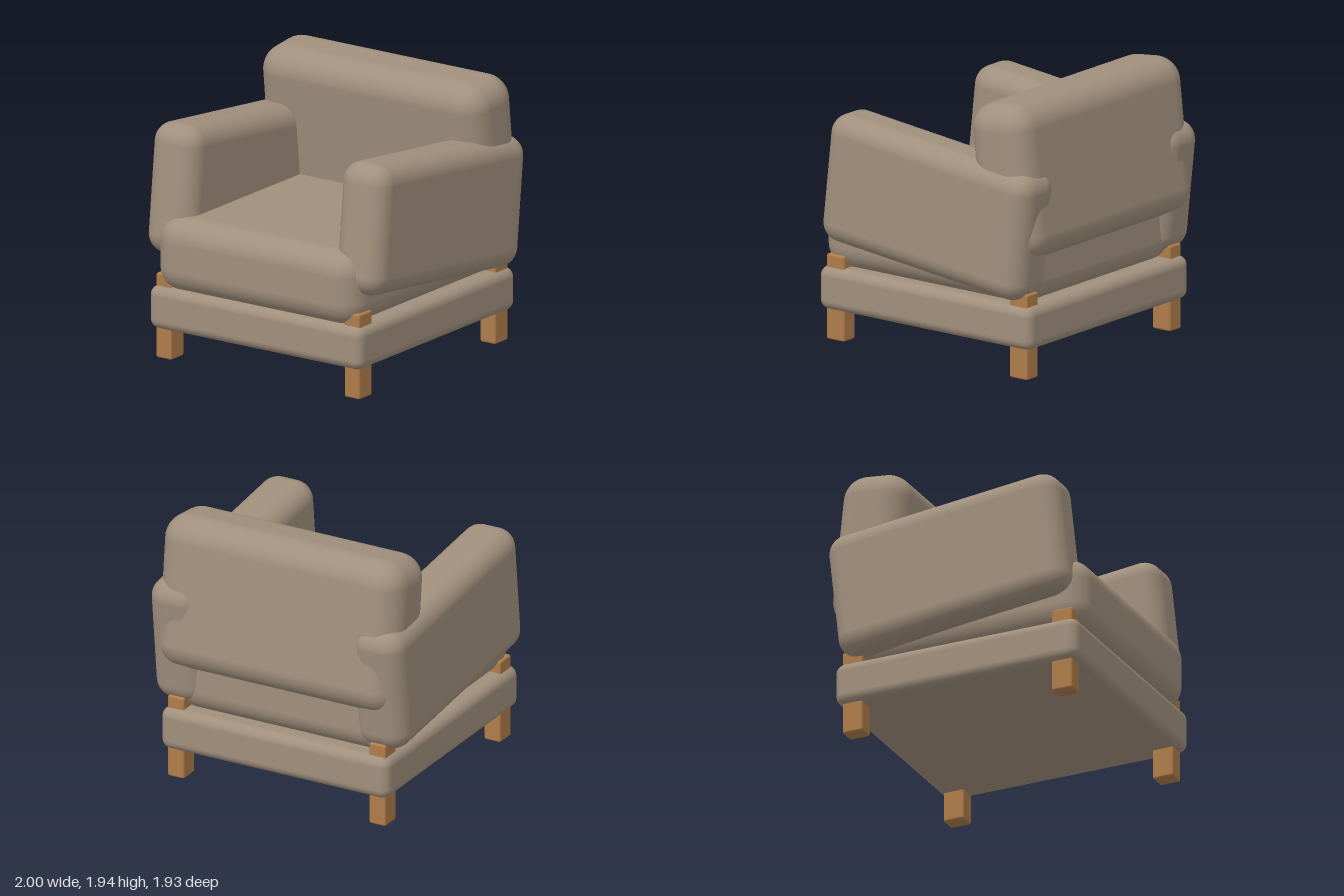
import * as THREE from 'three';
import { RoundedBoxGeometry } from 'three/addons/geometries/RoundedBoxGeometry.js';

export function createModel() {
  const chair = new THREE.Group();
  chair.name = 'armchair';

  const fabric = new THREE.MeshStandardMaterial({ color: 0xa08f7c });
  fabric.name = 'taupe fabric';
  const wood = new THREE.MeshStandardMaterial({ color: 0xb07c4a });
  wood.name = 'oak wood';

  // One soft-edged block; tilt is in degrees about the x axis
  function block(name, material, size, radius, position, tilt = 0, segments = 6) {
    const mesh = new THREE.Mesh(new RoundedBoxGeometry(...size, segments, radius), material);
    mesh.name = name;
    mesh.position.set(...position);
    mesh.rotation.x = THREE.MathUtils.degToRad(tilt);
    chair.add(mesh);
  }

  // Base frame, seat and forward-leaning backrest
  block('base', fabric, [1.81, 0.31, 1.86], 0.07, [0, 0.37, 0.01]);
  block('seatCushion', fabric, [1.71, 0.535, 1.815], 0.17, [0, 0.768, 0.055]);
  block('backrest', fabric, [1.9, 1.11, 0.51], 0.18, [0, 1.38, -0.67], 6.2);

  for (const [side, s] of [['left', 1], ['right', -1]]) {
    // Armrests slope down towards the back
    block(side + 'Armrest', fabric, [0.395, 0.93, 1.773], 0.14, [s * 0.8025, 1.105, -0.0375], -6.2);

    // Legs run up through the base
    block(side + 'FrontLeg', wood, [0.13, 0.612, 0.156], 0.015, [s * 0.8, 0.306, 0.812], 0, 2);
    block(side + 'BackLeg', wood, [0.13, 0.612, 0.156], 0.015, [s * 0.8, 0.306, -0.793], 0, 2);
  }

  return chair;
}
